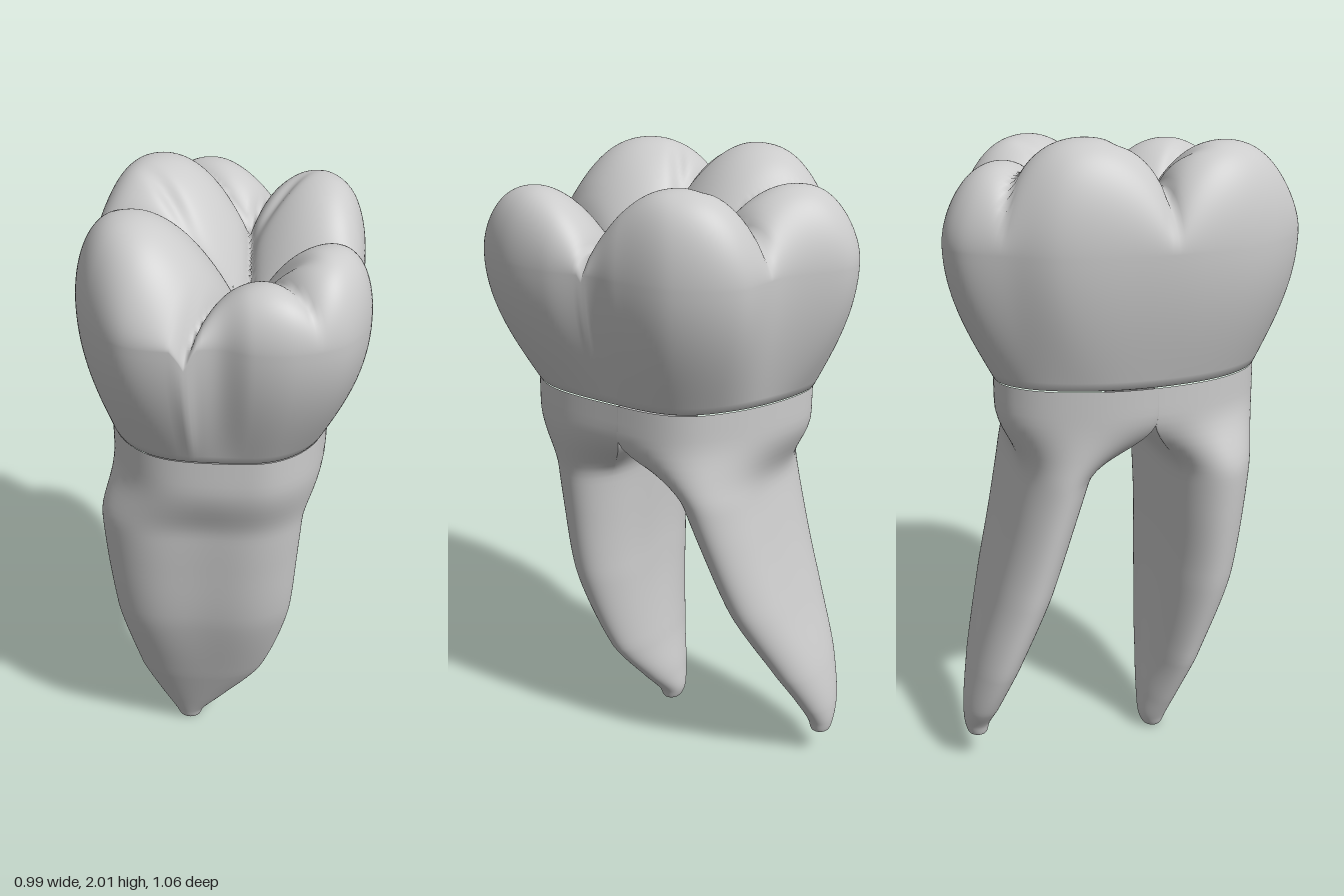
import * as THREE from 'three';

const material = new THREE.MeshStandardMaterial({ color: 0xcccccc, roughness: 0.6 });
const { smoothstep, lerp } = THREE.MathUtils;

// Skin a list of closed rings, ordered from bottom to top
function loft(name, rings) {
  const n = rings[0].length, index = [];
  for (let i = 0; i < rings.length - 1; i++) {
    for (let j = 0; j < n; j++) {
      const a = i * n + j, b = i * n + (j + 1) % n, c = a + n, d = b + n;
      index.push(a, c, b, b, c, d);
    }
  }
  const geometry = new THREE.BufferGeometry().setFromPoints(rings.flat());
  geometry.setIndex(index);
  geometry.computeVertexNormals();
  const mesh = new THREE.Mesh(geometry, material);
  mesh.name = name;
  return mesh;
}

// Widest outline of the crown, as x, z
const outline = new THREE.CatmullRomCurve3([
  [-0.38, -0.485], [-0.15, -0.475], [0.03, -0.53], [0.2, -0.44], [0.29, -0.29], [0.33, -0.19],
  [0.42, -0.08], [0.485, 0.06], [0.485, 0.2], [0.4, 0.32], [0.3, 0.38], [0.2, 0.4],
  [0.1, 0.48], [-0.04, 0.525], [-0.18, 0.48], [-0.28, 0.4], [-0.37, 0.27], [-0.44, 0.1],
  [-0.5, -0.12], [-0.485, -0.26], [-0.455, -0.42],
].map(([x, z]) => new THREE.Vector3(x, 0, z)), true).getPoints(220).slice(0, -1);

// Narrower, smoothed neck outline where the crown meets the roots
const neck = outline.map((_, j) => {
  const p = new THREE.Vector3(), reach = 14;
  for (let k = -reach; k <= reach; k++) p.add(outline[(j + k + outline.length) % outline.length]);
  p.divideScalar(2 * reach + 1);
  return new THREE.Vector3(p.x * (0.81 - 0.17 * p.x), 0, p.z * 0.815);
});

// Cusps: x, z, peak height, side of the secondary groove (0 = none)
const cusps = [
  [-0.34, -0.08, 2.01, 1], [-0.17, 0.33, 1.99, -1], [0.14, -0.38, 1.965, 1],
  [0.42, 0.08, 1.93, -1], [-0.3, -0.33, 1.94, 0], [0.33, 0.29, 1.88, 0],
];

// Chewing surface: pillowed hills that meet in creased grooves
function biteHeight(x, z) {
  const heights = cusps.map(([cx, cz, peak, side]) => {
    const dx = x - cx, dz = z - cz, len = Math.hypot(cx, cz);
    const along = -(dx * cx + dz * cz) / len, across = (dx * cz - dz * cx) / len;
    const furrow = Math.exp(-(((across * side - 0.075) / 0.025) ** 2) - (((along - 0.17) / 0.09) ** 2));
    return peak - 3.6 * Math.hypot(dx, dz) ** 2.3 - (side ? 0.02 * furrow : 0);
  }).sort((a, b) => b - a);
  return heights[0] - 0.035 * Math.exp((heights[1] - heights[0]) / 0.04);
}

function crown() {
  const rings = [];
  // The rim drops into a notch wherever a groove runs over the edge
  const rim = outline.map(p => Math.min(1.7, biteHeight(p.x, p.z) - 0.05));
  rings.push(neck.map(p => new THREE.Vector3(p.x * 0.93, 1.285, p.z * 0.93)));
  const wallSteps = 16, topSteps = 60;
  for (let i = 0; i <= wallSteps; i++) {
    const t = i / wallSteps, bulge = Math.sin(t * Math.PI / 2);
    rings.push(outline.map((p, j) => {
      const v = neck[j].clone().lerp(p, bulge);
      v.y = lerp(1.295, rim[j], t);
      return v;
    }));
  }
  for (let i = 1; i <= topSteps; i++) {
    const s = Math.max(0.002, Math.cos(i / topSteps * Math.PI / 2));
    const rise = Math.sqrt(1 - s ** 8);
    rings.push(outline.map((p, j) => {
      const x = p.x * s, z = p.z * s;
      return new THREE.Vector3(x, lerp(rim[j], biteHeight(x, z), rise), z);
    }));
  }
  return loft('crown', rings);
}

// Root axes: breadth runs along (0.88, -0.48) in x, z, thickness along (0.48, 0.88)
const breadth = (x, z) => 0.88 * x - 0.48 * z;
const depth = (x, z) => 0.48 * x + 0.88 * z;

// Flattened root that widens at the top into its half of the neck.
// Sections are y, centre x, centre z, half breadth, half thickness
function root(name, side, sections) {
  const centres = new THREE.CatmullRomCurve3(sections.map(([y, x, z]) => new THREE.Vector3(x, y, z)));
  const sizes = new THREE.CatmullRomCurve3(sections.map(s => new THREE.Vector3(s[3], s[4], 0)));
  const [, topX, topZ] = sections.at(-1);
  const split = -0.05 - side * 0.005;
  const half = neck.map(p => {
    const u = breadth(p.x, p.z) * 0.985, w = depth(p.x, p.z) * 0.985;
    return { u, w: side * (w - split) > 0 ? w : split };
  });
  const angles = half.map(({ u, w }) => Math.atan2((w - depth(topX, topZ)) / 0.21, (u - breadth(topX, topZ)) / 0.33));
  const rings = [], steps = 70;
  for (let i = 0; i <= steps; i++) {
    const c = centres.getPoint(i / steps), size = sizes.getPoint(i / steps);
    const groove = 0.2 * smoothstep(c.y, 0.15, 0.6);
    const spread = smoothstep(c.y, 0.98, 1.2);
    rings.push(half.map((h, j) => {
      const sin = Math.sin(angles[j]);
      // Shallow lengthwise groove down both broad faces
      const b = size.y * sin * (1 + groove * 0.5 - groove * sin ** 8);
      const u = lerp(breadth(c.x, c.z) + size.x * Math.cos(angles[j]), h.u, spread);
      const w = lerp(depth(c.x, c.z) + b, h.w, spread);
      return new THREE.Vector3(u * 0.88 + w * 0.48, c.y, w * 0.88 - u * 0.48);
    }));
  }
  return loft(name, rings);
}

export function createModel() {
  const tooth = new THREE.Group();
  tooth.name = 'molar';
  tooth.add(
    crown(),
    root('frontRoot', 1, [
      [0, -0.12, 0.1, 0.005, 0.005], [0.005, -0.12, 0.1, 0.035, 0.03], [0.04, -0.12, 0.1, 0.052, 0.045],
      [0.13, -0.095, 0.11, 0.11, 0.06], [0.3, -0.045, 0.135, 0.205, 0.08], [0.6, -0.003, 0.18, 0.283, 0.12],
      [0.85, 0.005, 0.195, 0.307, 0.138], [1.05, 0.01, 0.195, 0.32, 0.155], [1.29, 0.02, 0.17, 0.325, 0.2],
    ]),
    root('backRoot', -1, [
      [0.09, -0.39, -0.44, 0.005, 0.005], [0.095, -0.39, -0.44, 0.035, 0.03], [0.13, -0.39, -0.44, 0.048, 0.04],
      [0.2, -0.385, -0.425, 0.09, 0.056], [0.35, -0.345, -0.39, 0.16, 0.076], [0.6, -0.26, -0.33, 0.24, 0.095],
      [0.85, -0.2, -0.275, 0.28, 0.105], [1.05, -0.16, -0.235, 0.305, 0.12], [1.29, -0.12, -0.2, 0.325, 0.19],
    ]),
  );
  return tooth;
}
